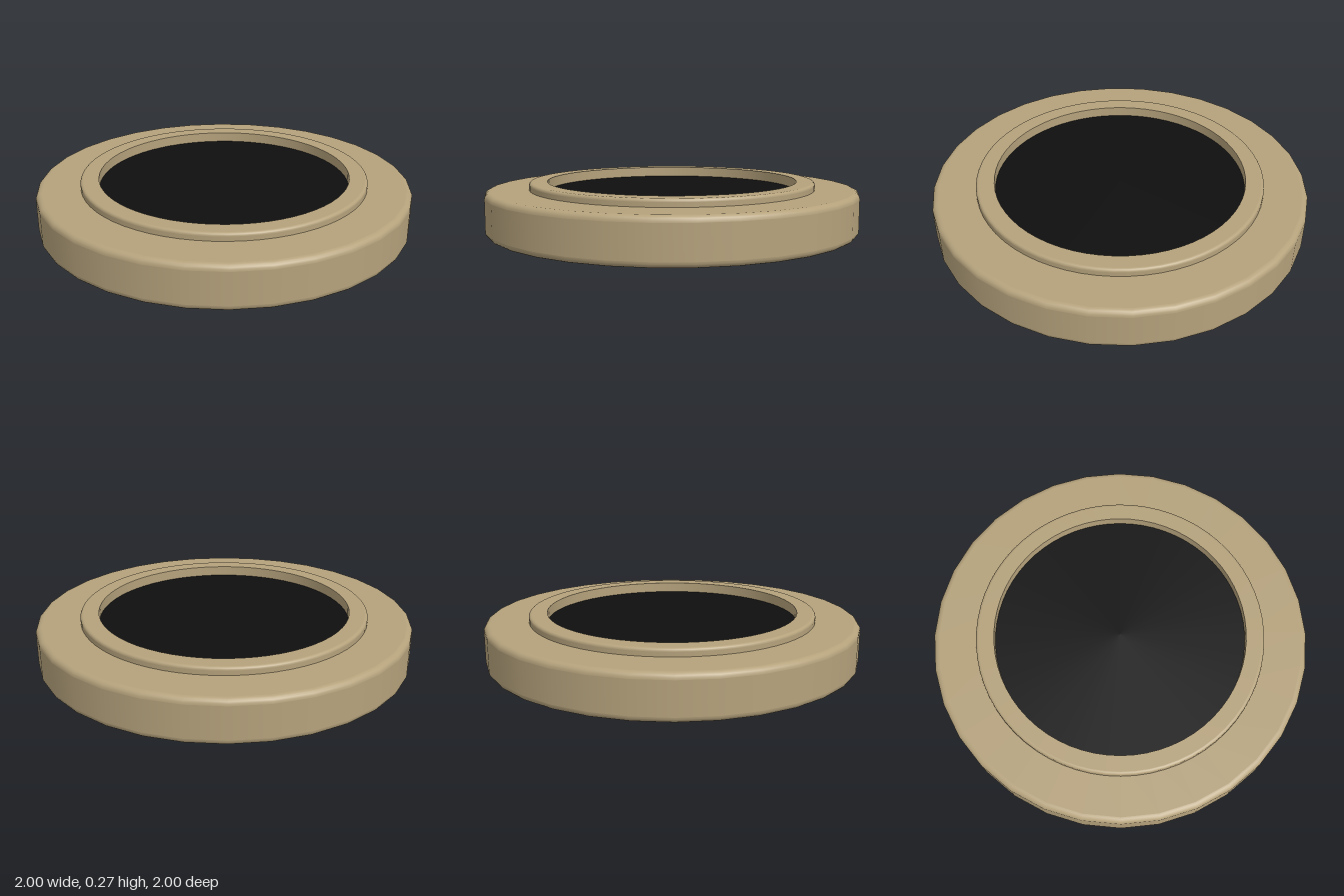
import * as THREE from 'three';

const stone = new THREE.MeshStandardMaterial({ name: 'tan', color: 0xb5a27c });
const black = new THREE.MeshStandardMaterial({ name: 'black', color: 0x0f0f0f });

// Quarter-round corner centred on (x, y), with tiny support points so flats stay flat
function roundCorner(x, y, r, startDeg, steps = 5) {
  const points = [];
  const a0 = THREE.MathUtils.degToRad(startDeg);
  const at = (a, dx = 0, dy = 0) =>
    points.push(new THREE.Vector2(x + r * Math.cos(a) + dx, y + r * Math.sin(a) + dy));
  const e = 0.001;
  const a1 = a0 + Math.PI / 2;
  at(a0, Math.sin(a0) * e, -Math.cos(a0) * e);
  for (let i = 0; i <= steps; i++) at(a0 + (i / steps) * Math.PI / 2);
  at(a1, -Math.sin(a1) * e, Math.cos(a1) * e);
  return points;
}

// A doubled profile point gives a sharp edge
const sharp = (x, y) => [new THREE.Vector2(x, y), new THREE.Vector2(x, y)];

function lathePart(name, profile, segments, material) {
  const mesh = new THREE.Mesh(new THREE.LatheGeometry(profile, segments), material);
  mesh.name = name;
  return mesh;
}

export function createModel() {
  const group = new THREE.Group();
  group.name = 'roundFrame';

  // Wide outer ring with rounded rims
  group.add(lathePart('outerRing', [
    new THREE.Vector2(0.69, 0),
    ...roundCorner(0.97, 0.03, 0.03, -90),
    ...roundCorner(0.97, 0.2, 0.03, 0),
    new THREE.Vector2(0.69, 0.23),
  ], 32, stone));

  // Inner collar: raised lip on top and the wall of the opening
  group.add(lathePart('innerCollar', [
    ...sharp(0.67, 0),
    ...sharp(0.69, 0),
    ...sharp(0.69, 0.22),
    ...sharp(0.767, 0.22),
    ...roundCorner(0.752, 0.255, 0.015, 0),
    ...sharp(0.67, 0.27),
    new THREE.Vector2(0.67, 0),
  ], 64, stone));

  // Dark disc set inside the opening
  const disc = new THREE.Mesh(new THREE.CylinderGeometry(0.671, 0.671, 0.025, 64), black);
  disc.name = 'darkDisc';
  disc.position.y = 0.203;
  group.add(disc);

  return group;
}
